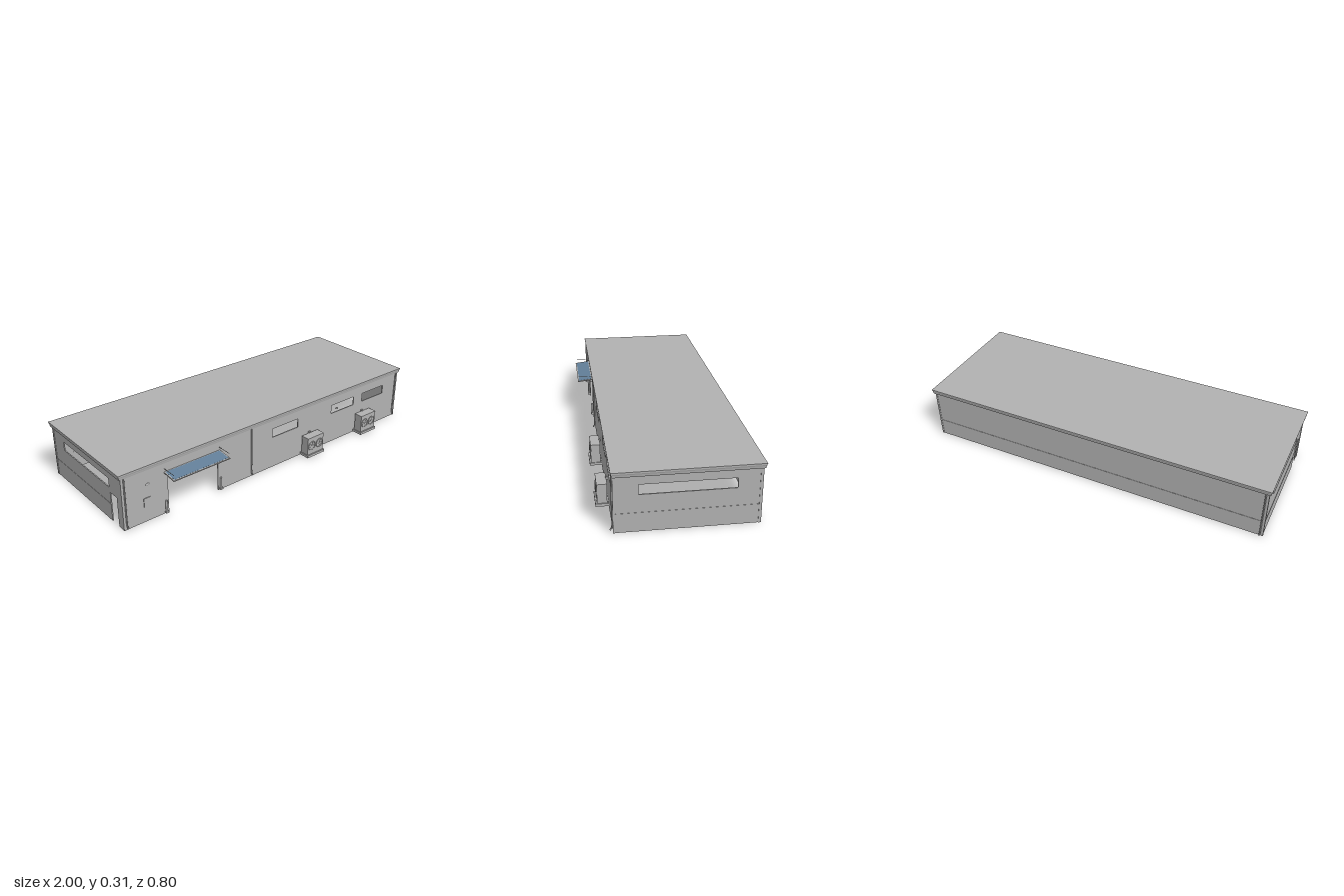
import * as THREE from 'three';

const mat = (name, color, side = THREE.FrontSide) => {
  const m = new THREE.MeshStandardMaterial({ color, side });
  m.name = name;
  return m;
};

export function createModel() {
  const grey = mat('concrete grey', 0xb2b2b2);
  const glass = mat('blue glass', 0x63809a, THREE.DoubleSide);
  const building = new THREE.Group();
  building.name = 'building';

  const X = 0.985, ZF = 0.313, ZB = -0.378, H = 0.29, T = 0.006;

  const add = (name, geo, x = 0, y = 0, z = 0, material = grey, parent = building) => {
    const m = new THREE.Mesh(geo, material);
    m.name = name;
    m.position.set(x, y, z);
    parent.add(m);
    return m;
  };
  // Box given by its minimum and maximum on each axis
  const box = (name, x0, x1, y0, y1, z0, z1, material = grey, parent = building) =>
    add(name, new THREE.BoxGeometry(x1 - x0, y1 - y0, z1 - z0),
      (x0 + x1) / 2, (y0 + y1) / 2, (z0 + z1) / 2, material, parent);

  // Wall panel: a door is a notch in the bottom edge, windows are holes
  const wall = (u0, u1, windows, door) => {
    const pts = [[u0, 0]];
    if (door) pts.push([door[0], 0], [door[0], door[2]], [door[1], door[2]], [door[1], 0]);
    pts.push([u1, 0], [u1, H], [u0, H]);
    const shape = new THREE.Shape(pts.map(p => new THREE.Vector2(...p)));
    for (const [a, b, c, d] of windows) {
      shape.holes.push(new THREE.Path(
        [[a, c], [a, d], [b, d], [b, c]].map(p => new THREE.Vector2(...p))));
    }
    return new THREE.ExtrudeGeometry(shape, { depth: T, bevelEnabled: false });
  };

  const frontWindows = [[-0.04, 0.15], [0.415, 0.602], [0.675, 0.86]].map(w => [...w, 0.185, 0.237]);
  add('frontWall', wall(-X, X, frontWindows, [-0.725, -0.415, 0.22]), 0, 0, ZF - T);
  add('backWall', wall(-X, X, []), 0, 0, ZB);
  const sideWindow = [[-0.197, 0.262, 0.192, 0.243]];
  add('leftWall', wall(-ZF, -ZB, sideWindow), X - T).rotation.y = Math.PI / 2;
  add('rightWall', wall(-ZF, -ZB, sideWindow, [-0.265, -0.203, 0.165]), -X).rotation.y = Math.PI / 2;

  // Seam strips around the walls
  for (const s of [-1, 1]) {
    box('sideSeam', s * X - 0.0015, s * X + 0.0015, 0.096, 0.1, -0.366, s < 0 ? 0.2 : 0.305);
  }
  box('backSeam', -X, X, 0.096, 0.1, ZB - 0.0015, ZB + T + 0.001);

  // Corner trims
  for (const s of [-1, 1]) {
    for (const [z0, z1] of [[ZF - 0.008, ZF + 0.002], [ZB - 0.002, ZB + 0.012]]) {
      box('cornerTrim', s * (X - 0.003) - 0.005, s * (X - 0.003) + 0.005, 0, H, z0, z1);
    }
  }

  // Roof slab with a coved cornice: rectangular rings of [inset, height]
  const profile = [[0.012, 0.286], [0.006, 0.288], [0.005, 0.293], [0.004, 0.3],
    [0.002, 0.306], [0.002, 0.311], [0, 0.311], [0, 0.315]];
  const rings = profile.map(([i, y]) => [
    [-1 + i, y, 0.323 - i], [1 - i, y, 0.323 - i], [1 - i, y, -0.391 + i], [-1 + i, y, -0.391 + i]]);
  const pos = [];
  const quad = (a, b, c, d) => pos.push(...a, ...b, ...c, ...a, ...c, ...d);
  for (let r = 0; r < rings.length - 1; r++) {
    for (let k = 0; k < 4; k++) {
      const n = (k + 1) % 4;
      quad(rings[r][k], rings[r][n], rings[r + 1][n], rings[r + 1][k]);
    }
  }
  quad(...rings[rings.length - 1]);
  quad(...[...rings[0]].reverse());
  const roofGeo = new THREE.BufferGeometry();
  roofGeo.setAttribute('position', new THREE.Float32BufferAttribute(pos, 3));
  roofGeo.computeVertexNormals();
  add('roof', roofGeo);

  // Downpipes with a kicked-out foot
  const downpipe = (x, z, dir) => {
    const path = new THREE.CatmullRomCurve3([[H, 0], [0.15, 0], [0.03, 0], [0.018, 0.002], [0.01, 0.01]]
      .map(([y, d]) => new THREE.Vector3(x, y, z + dir * d)));
    add('downpipe', new THREE.TubeGeometry(path, 16, 0.004, 10));
  };
  for (const x of [-0.97, -0.19, 0.97]) downpipe(x, 0.317, 1);
  downpipe(-0.97, -0.383, -1);

  // Entrance canopy: tilted frame with a glass sheet
  const canopy = new THREE.Group();
  canopy.name = 'canopy';
  canopy.position.set(-0.573, 0.236, ZF);
  canopy.rotation.x = 0.115;
  building.add(canopy);
  const W = 0.172, D = 0.087;
  for (const s of [-1, 1]) {
    box('canopySideRail', s * (W - 0.004) - 0.004, s * (W - 0.004) + 0.004, -0.003, 0.003, 0, D, grey, canopy);
  }
  box('canopyFrontRail', -W, W, -0.003, 0.003, D - 0.008, D, grey, canopy);
  box('canopyBackRail', -W, W, -0.003, 0.003, 0, 0.008, grey, canopy);
  box('canopyGlass', -W + 0.007, W - 0.007, 0.001, 0.0035, 0.005, D - 0.007, glass, canopy);
  box('canopyLamp', -0.02, 0.02, -0.007, -0.002, 0.03, 0.05, grey, canopy);
  for (const s of [-1, 1]) {
    const x = -0.573 + s * (W - 0.004);
    box('canopyRod', x - 0.001, x + 0.001, 0.254, 0.256, ZF, 0.396);
  }

  // Guard posts beside the gate
  for (const x of [-0.742, -0.4]) {
    add('guardPost', new THREE.CylinderGeometry(0.006, 0.006, 0.062, 12), x, 0.044, 0.318);
    box('guardPostFoot', x - 0.008, x + 0.008, 0.004, 0.014, ZF, 0.326);
  }

  // Wall cabinet and small lamps
  box('wallCabinet', -0.868, -0.83, 0.085, 0.135, ZF, ZF + 0.004);
  for (const [x, y] of [[-0.84, 0.207], [0.46, 0.207]]) {
    const lamp = add('wallLamp', new THREE.SphereGeometry(0.006, 12, 8), x, y, ZF);
    lamp.scale.set(2, 1, 0.8);
  }

  // Cooling units on plinths, each with two fans
  for (const x of [0.24, 0.68]) {
    const unit = new THREE.Group();
    unit.name = 'coolingUnit';
    unit.position.x = x;
    building.add(unit);
    box('plinth', -0.065, 0.065, 0.003, 0.018, ZF, 0.378, grey, unit);
    box('casing', -0.06, 0.06, 0.018, 0.12, 0.32, 0.37, grey, unit);
    box('casingLid', -0.061, 0.061, 0.118, 0.122, 0.319, 0.371, grey, unit);
    box('wallBracket', -0.006, 0.006, 0.118, 0.13, ZF, 0.322, grey, unit);
    for (const s of [-1, 1]) {
      const fx = s * 0.029;
      add('fanRing', new THREE.TorusGeometry(0.025, 0.0025, 8, 28), fx, 0.07, 0.3715, grey, unit);
      add('fanHub', new THREE.CylinderGeometry(0.006, 0.006, 0.006, 16), fx, 0.07, 0.372, grey, unit)
        .rotation.x = Math.PI / 2;
      for (let k = 0; k < 5; k++) {
        const blade = add('fanBlade', new THREE.BoxGeometry(0.022, 0.007, 0.001).translate(0.012, 0, 0),
          fx, 0.07, 0.3725, grey, unit);
        blade.rotation.set(0, 0, k * Math.PI * 0.4);
        blade.rotateX(0.35);
      }
    }
  }
  return building;
}
